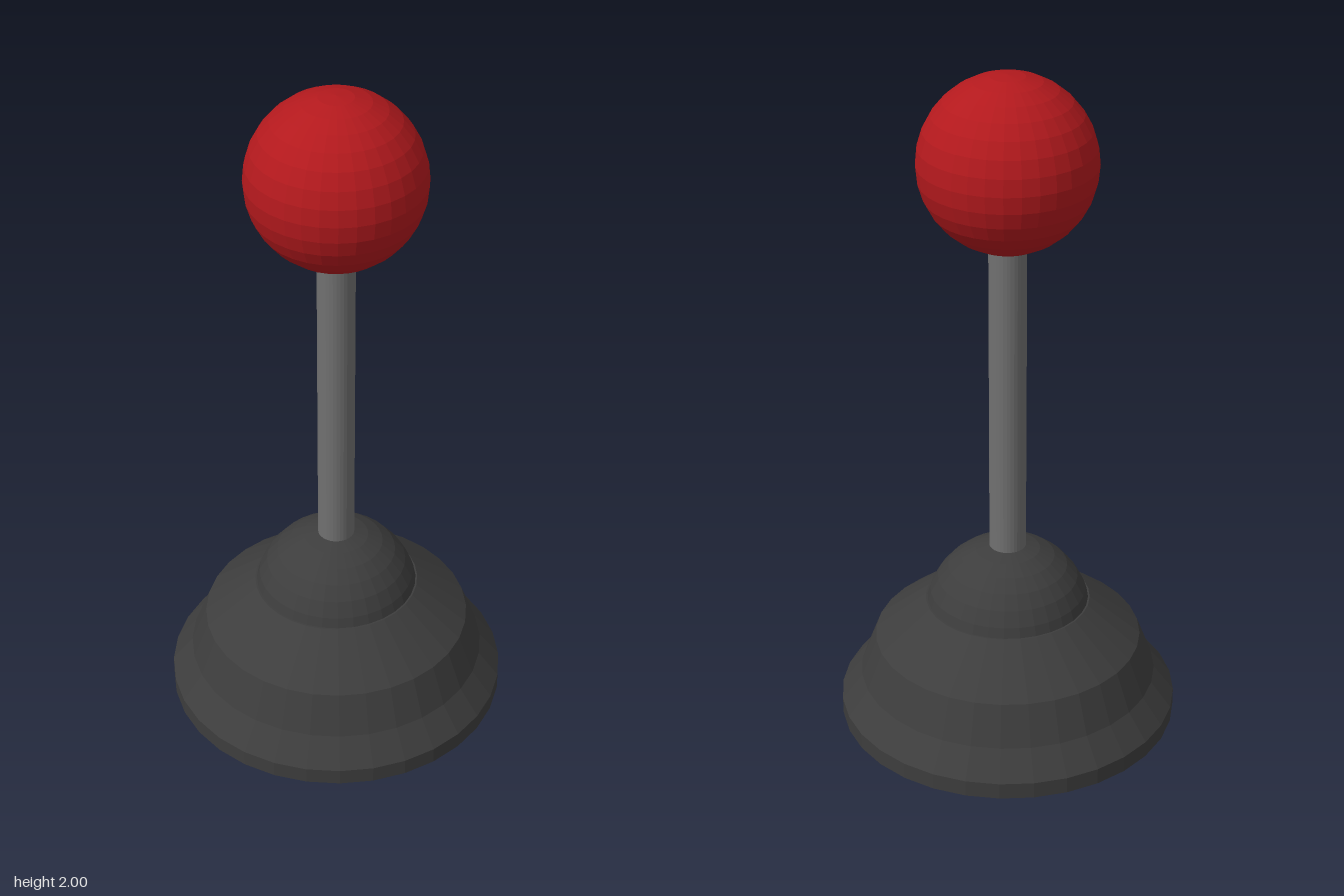
import * as THREE from 'three';

const SIDES = 32;

export function createModel() {
  const model = new THREE.Group();
  model.name = 'joystick';

  const paint = (color) => new THREE.MeshStandardMaterial({ color, flatShading: true });
  const dark = paint(0x3d3d3d);
  const metal = paint(0x707070);
  const red = paint(0xb3191d);

  const add = (name, geometry, material, y = 0) => {
    const mesh = new THREE.Mesh(geometry, material);
    mesh.name = name;
    mesh.position.y = y;
    model.add(mesh);
  };

  // Base plate
  add('basePlate', new THREE.CylinderGeometry(0.504, 0.504, 0.05, SIDES), dark, 0.025);

  // Stepped boot, from the plate up to the dome
  const boot = [[0.504, 0.05], [0.443, 0.13], [0.397, 0.25], [0.245, 0.372], [0, 0.372]];
  add('boot', new THREE.LatheGeometry(boot.map(([r, y]) => new THREE.Vector2(r, y)), SIDES), dark);

  // Domed pivot, sunk into the boot
  add('pivotDome', new THREE.SphereGeometry(0.25, SIDES, 16), dark, 0.306);

  // Shaft, its ends hidden in the dome and the ball
  add('shaft', new THREE.CylinderGeometry(0.054, 0.054, 1.2, SIDES), metal, 1.05);

  // Ball grip
  add('ballGrip', new THREE.SphereGeometry(0.252, SIDES, 16), red, 1.748);

  return model;
}
